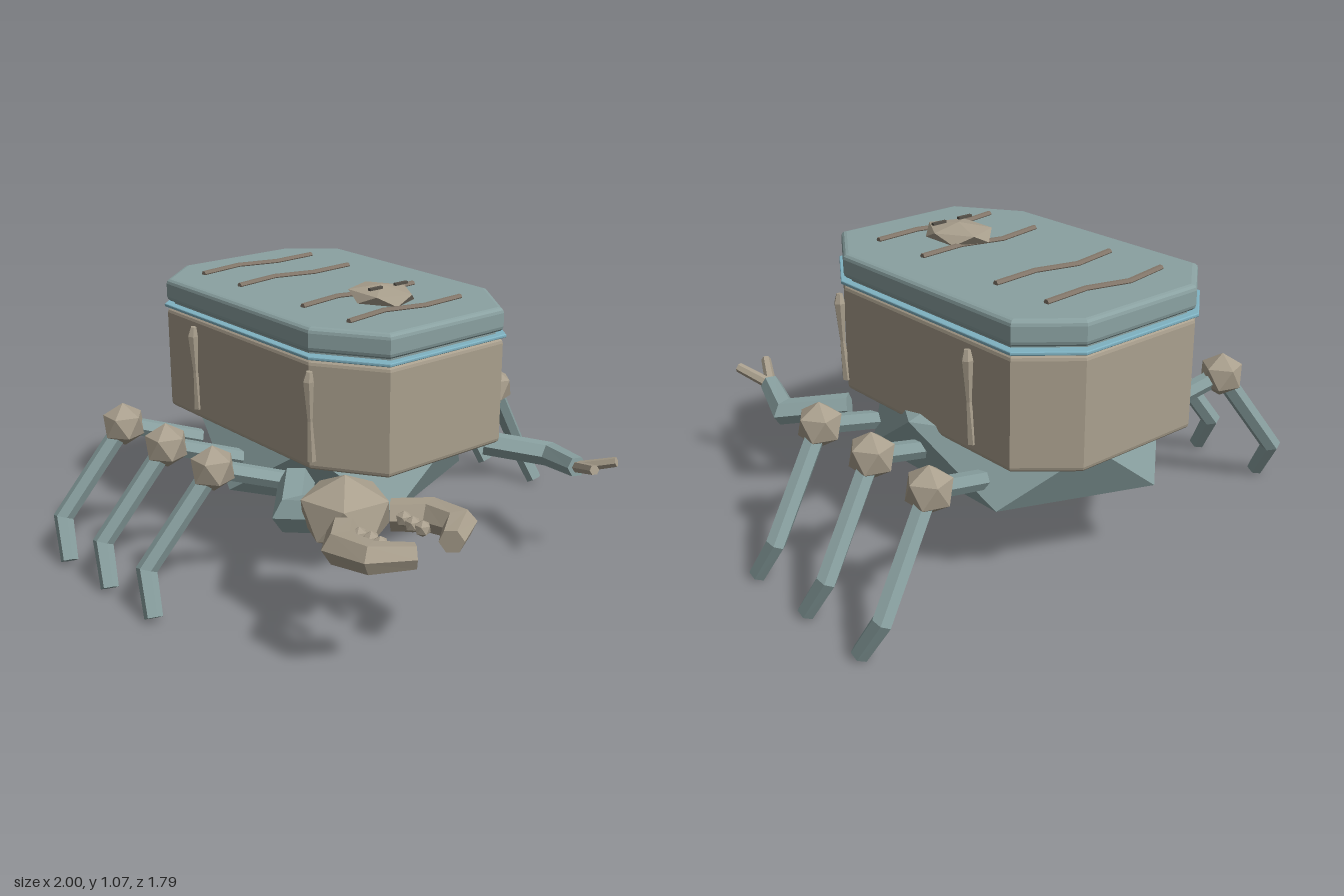
import * as THREE from 'three';

const V = (x, y, z) => new THREE.Vector3(x, y, z);

// Faceted prism swept along points, with mitred bends and one radius per point
function sweep(points, radii, sides = 6) {
  const p = points.map(a => V(...a));
  const dirs = p.slice(1).map((q, i) => q.clone().sub(p[i]).normalize());
  const up = Math.abs(dirs[0].y) > 0.9 ? V(0, 0, 1) : V(0, 1, 0);
  const u = up.clone().cross(dirs[0]).normalize();
  const v = dirs[0].clone().cross(u);
  let offsets = [];
  for (let j = 0; j < sides; j++) {
    const a = (j / sides) * Math.PI * 2;
    offsets.push(u.clone().multiplyScalar(Math.cos(a)).addScaledVector(v, Math.sin(a)));
  }
  const rings = p.map((q, i) => {
    if (i > 0) {
      const d = dirs[i - 1];
      const n = d.clone().add(dirs[i] || d).normalize();
      offsets = offsets.map(o => o.clone().addScaledVector(d, -o.dot(n) / d.dot(n)));
    }
    return offsets.map(o => q.clone().addScaledVector(o, radii[i] ?? radii[0]));
  });
  const tris = [];
  const last = p.length - 1;
  for (let j = 0; j < sides; j++) {
    const k = (j + 1) % sides;
    for (let i = 0; i < last; i++) {
      const a = rings[i][j], b = rings[i][k], c = rings[i + 1][k], d = rings[i + 1][j];
      tris.push(a, b, c, a, c, d);
    }
    tris.push(p[0], rings[0][k], rings[0][j], p[last], rings[last][j], rings[last][k]);
  }
  const g = new THREE.BufferGeometry().setFromPoints(tris);
  g.computeVertexNormals();
  return g;
}

// Chamfered rectangular slab lying flat, from y0 to y1
function slab(y0, y1, grow, bevel) {
  const half = [[0.27, 0.37], [0.43, 0.13], [0.43, -0.75], [0.25, -0.9]];
  const outline = [...half, ...half.map(([x, z]) => [-x, z]).reverse()]
    .map(([x, z]) => new THREE.Vector2(x + Math.sign(x) * grow, -z - Math.sign(z) * grow));
  const g = new THREE.ExtrudeGeometry(new THREE.Shape(outline), {
    depth: y1 - y0 - 2 * bevel, bevelEnabled: bevel > 0, bevelThickness: bevel,
    bevelSize: bevel, bevelOffset: -bevel, bevelSegments: 3,
  });
  g.rotateX(-Math.PI / 2);
  g.translate(0, y0 + bevel, 0);
  return g;
}

// Icosahedron with a corner straight up, stretched on each axis
function gem(rx, ry, rz) {
  const g = new THREE.IcosahedronGeometry(1, 0);
  g.rotateZ(-Math.atan(2 / (1 + Math.sqrt(5))));
  g.scale(rx, ry, rz);
  g.computeVertexNormals();
  return g;
}

export function createModel() {
  const mat = (name, color) => {
    const m = new THREE.MeshStandardMaterial({ color });
    m.name = name;
    return m;
  };
  const tan = mat('sandy shell', 0xa99f8d);
  const blue = mat('blue grey', 0x8aa1a1);
  const cyan = mat('pale blue rim', 0x7fb2c2);
  const brown = mat('brown crack', 0x83776a);
  const dark = mat('dark slit', 0x57524a);

  const model = new THREE.Group();
  model.name = 'crabChest';
  const add = (parent, name, geometry, material, pos = [0, 0, 0]) => {
    const m = new THREE.Mesh(geometry, material);
    m.name = name;
    m.position.set(...pos);
    parent.add(m);
    return m;
  };

  // Chest, lid and faceted belly, tipped slightly forward
  const body = new THREE.Group();
  body.name = 'body';
  body.rotation.x = 0.012;
  model.add(body);
  add(body, 'chest', slab(0.49, 0.895, 0, 0.02), tan);
  add(body, 'lidSeat', slab(0.89, 0.93, -0.02, 0), blue);
  add(body, 'rim', slab(0.897, 0.91, 0.008, 0.004), cyan);
  add(body, 'lid', slab(0.918, 1.008, 0, 0.02), blue);
  add(body, 'belly', gem(0.537, 0.262, 0.655), blue, [0, 0.408, -0.294]);

  // Wavy cracks across the lid
  for (const z of [-0.71, -0.47, -0.085, 0.17]) {
    add(body, 'lidCrack', sweep([[-0.285, 1.012, z], [-0.1, 1.012, z - 0.03],
      [0.06, 1.012, z + 0.012], [0.245, 1.012, z]], [0.011]), brown);
  }

  // Crest with two slits on the lid
  add(body, 'crest', gem(0.125, 0.038, 0.15), tan, [0, 1.03, 0.012]);
  for (const s of [-1, 1]) {
    add(body, 'crestSlit', new THREE.BoxGeometry(0.06, 0.009, 0.013), dark, [s * 0.06, 1.068, 0.05]);
  }

  // Pinched straps on the chest sides
  for (const s of [-1, 1]) for (const z of [0.145, -0.56]) {
    add(body, 'sideStrap', sweep([[s * 0.44, 0.86, z + 0.003], [s * 0.443, 0.825, z],
      [s * 0.437, 0.68, z], [s * 0.428, 0.53, z - 0.005]], [0.012, 0.021, 0.01, 0.018]), tan);
  }

  // Six walking legs
  for (const s of [-1, 1]) for (const z of [-0.068, -0.368, -0.668]) {
    const leg = new THREE.Group();
    leg.name = s > 0 ? 'leftLeg' : 'rightLeg';
    model.add(leg);
    const knee = [s * 0.695, 0.505, z];
    add(leg, 'upperLeg', sweep([[s * 0.41, 0.405, z + 0.085], knee], [0.035]), blue);
    add(leg, 'knee', gem(0.085, 0.085, 0.085), tan, knee);
    add(leg, 'lowerLeg', sweep([knee, [s * 0.94, 0.165, z - 0.075], [s * 0.97, 0.02, z + 0.005]],
      [0.036, 0.036, 0.033]), blue);
  }

  // Small arm ending in a fork
  const smallArm = new THREE.Group();
  smallArm.name = 'smallArm';
  model.add(smallArm);
  const wrist = [0.505, 0.385, 0.56];
  add(smallArm, 'arm', sweep([[0.4, 0.4, 0.18], [0.572, 0.362, 0.36], wrist], [0.048, 0.048, 0.04]), blue);
  for (const x of [0.44, 0.565]) {
    add(smallArm, 'prong', sweep([wrist, [x, 0.43, 0.695]], [0.022, 0.019]), tan);
  }

  // Large arm with palm, pincers and teeth
  const bigArm = new THREE.Group();
  bigArm.name = 'bigArm';
  model.add(bigArm);
  add(bigArm, 'arm', sweep([[-0.43, 0.42, 0.06], [-0.595, 0.41, 0.25], [-0.54, 0.44, 0.4]], [0.065]), blue);
  const palm = add(bigArm, 'palm', gem(0.165, 0.13, 0.172), tan, [-0.515, 0.457, 0.435]);
  palm.rotation.y = 0.2;
  for (const s of [-1, 1]) {
    const x = d => -0.517 + s * d;
    add(bigArm, 'pincer', sweep([[x(0.1), 0.455, 0.55], [x(0.192), 0.46, 0.645],
      [x(0.187), 0.475, 0.785], [x(0.075), 0.475, 0.862]], [0.055, 0.058, 0.052, 0.042]), tan);
    [[0.095, 0.62], [0.088, 0.67], [0.09, 0.715]].forEach(([d, z]) =>
      add(bigArm, 'tooth', gem(0.029, 0.029, 0.029), tan, [x(d), 0.465, z]));
  }
  return model;
}
